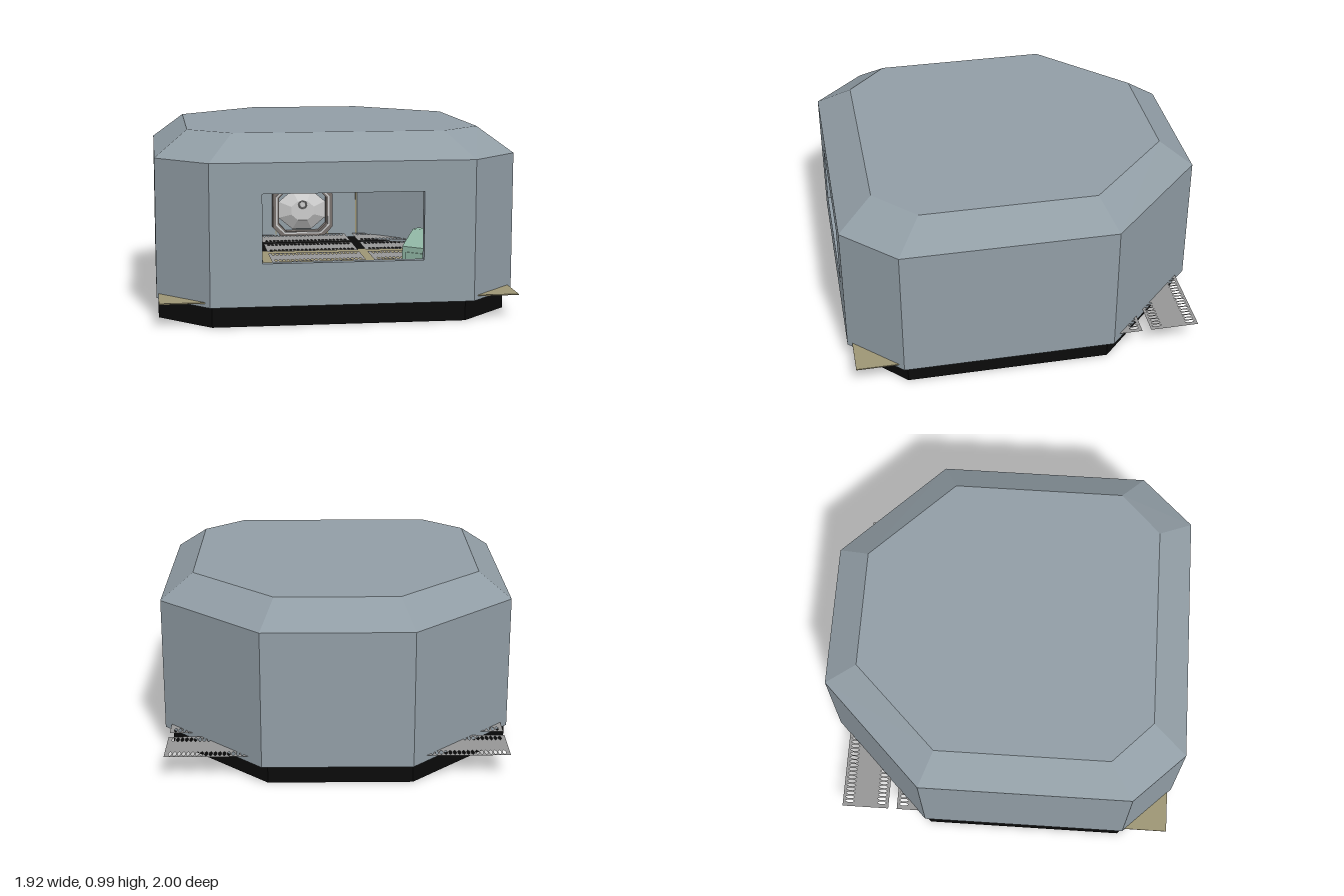
import * as THREE from 'three';

const paint = (color) => new THREE.MeshStandardMaterial({ color, side: THREE.DoubleSide, flatShading: true });

// Eight-sided outline, counterclockwise seen from above; edge 7 is the front
const ring = (y, frontX, frontZ, sideX, sideFront, sideBack, backX, backZ) => {
  const half = [[frontX, frontZ], [sideX, sideFront], [sideX, sideBack], [backX, backZ]];
  const mirrored = half.map(([x, z]) => [-x, z]).reverse();
  return [...half, ...mirrored].map(([x, z]) => new THREE.Vector3(x, y, z));
};

// Joins rings with flat quads; skipBand leaves the front quad of that band open
function loft(rings, { skipBand = -1, capFirst = false, capLast = false } = {}) {
  const pos = [];
  const tri = (...pts) => pts.forEach((p) => pos.push(p.x, p.y, p.z));
  for (let b = 0; b < rings.length - 1; b++) {
    for (let i = 0; i < 8; i++) {
      if (b === skipBand && i === 7) continue;
      const j = (i + 1) % 8, lo = rings[b], hi = rings[b + 1];
      tri(lo[i], lo[j], hi[j]);
      tri(lo[i], hi[j], hi[i]);
    }
  }
  const first = rings[0], last = rings[rings.length - 1];
  for (let i = 1; i < 7; i++) {
    if (capFirst) tri(first[0], first[i + 1], first[i]);
    if (capLast) tri(last[0], last[i], last[i + 1]);
  }
  const g = new THREE.BufferGeometry();
  g.setAttribute('position', new THREE.Float32BufferAttribute(pos, 3));
  g.computeVertexNormals();
  return g;
}

const rectPath = (target, x0, y0, x1, y1) => {
  target.moveTo(x0, y0).lineTo(x1, y0).lineTo(x1, y1).lineTo(x0, y1).closePath();
  return target;
};

// Octagon with 45 degree corners
const octagon = (target, w, h, c) => target.setFromPoints([
  [w - c, -h], [w, c - h], [w, h - c], [w - c, h], [c - w, h], [-w, h - c], [-w, c - h], [c - w, -h],
].map(([x, y]) => new THREE.Vector2(x, y)));

// Floor panel with a row of slots along each long edge
function grateGeometry(width, depth) {
  const shape = rectPath(new THREE.Shape(), -width / 2, -depth / 2, width / 2, depth / 2);
  const count = Math.floor((width - 0.02) / 0.024);
  for (const side of [-1, 1]) {
    for (let i = 0; i < count; i++) {
      const cx = (i - (count - 1) / 2) * 0.024, cy = side * (depth / 2 - 0.04);
      const slot = [[0, -0.028], [0.008, -0.012], [0.008, 0.012], [0, 0.028], [-0.008, 0.012], [-0.008, -0.012]];
      shape.holes.push(new THREE.Path(slot.map(([x, y]) => new THREE.Vector2(cx + x, cy + y))));
    }
  }
  return new THREE.ShapeGeometry(shape).rotateX(-Math.PI / 2);
}

export function createModel() {
  const model = new THREE.Group();
  const wall = paint(0x919da5), black = paint(0x0a0a0a), tan = paint(0x9d9574);
  const steel = paint(0x959595), green = paint(0x8fb5a3), dark = paint(0x77706c), pale = paint(0xcccccc);
  const add = (name, geometry, material, x = 0, y = 0, z = 0, parent = model) => {
    const mesh = new THREE.Mesh(geometry, material);
    mesh.name = name;
    mesh.position.set(x, y, z);
    parent.add(mesh);
    return mesh;
  };

  // Outer shell with a sloped roof edge
  const outer = (y) => ring(y, 0.69, 1, 0.96, 0.72, -0.44, 0.4, -1);
  const inner = (y) => ring(y, 0.675, 0.96, 0.92, 0.705, -0.425, 0.37, -0.96);
  add('outerShell', loft([outer(0.11), outer(0.855), ring(0.99, 0.56, 0.81, 0.785, 0.59, -0.36, 0.33, -0.82)],
    { skipBand: 0, capLast: true }), wall);

  // Inner walls, ceiling and bottom rim
  add('innerShell', loft([ring(0.95, 0.55, 0.79, 0.765, 0.58, -0.35, 0.32, -0.8), inner(0.83), inner(0.11), outer(0.11)],
    { skipBand: 1, capFirst: true }), wall);

  // Front wall with the window opening
  const front = rectPath(new THREE.Shape(), -0.69, 0.11, 0.69, 0.855);
  front.holes.push(rectPath(new THREE.Path(), -0.42, 0.335, 0.42, 0.695));
  add('frontWall', new THREE.ExtrudeGeometry(front, { depth: 0.04, bevelEnabled: false }), wall, 0, 0, 0.96);

  // Base plinth
  const base = (y) => ring(y, 0.665, 0.9575, 0.935, 0.69, -0.42, 0.385, -0.9575);
  add('base', loft([base(0), base(0.115)], { capFirst: true, capLast: true }), black, -0.015, 0, 0.0075);

  // Floor plate and the slotted panels on it
  add('floorPlate', new THREE.BoxGeometry(1.885, 0.006, 1.38), tan, -0.0075, 0.133, 0.285);
  const depth = 0.27;
  const columns = [[-0.625, 0.59], [0, 0.56], [0.625, 0.59]];
  for (const [x, width] of columns) {
    const geometry = grateGeometry(width, depth);
    for (let row = 0; row < 5; row++) add('floorGrate', geometry, steel, x, 0.142, -0.795 + row * 0.32);
  }

  // Trim strips on the back wall
  for (const x of [-0.36, -0.17, 0.17, 0.36]) {
    add('wallTrim', new THREE.BoxGeometry(0.008, 0.47, 0.008), tan, x, 0.375, -0.955);
  }
  add('wallRail', new THREE.BoxGeometry(0.72, 0.008, 0.008), tan, 0, 0.61, -0.955);

  // Strips on the angled back walls
  for (const side of [-1, 1]) {
    const rail = add('angledWallRail', new THREE.BoxGeometry(0.74, 0.008, 0.008), tan, side * 0.64, 0.61, -0.69);
    rail.rotation.y = -side * Math.atan2(0.535, 0.55);
  }

  // Octagonal hatch on the back wall
  const hatch = new THREE.Group();
  hatch.name = 'hatch';
  hatch.position.set(0, 0.305, -0.95);
  model.add(hatch);
  const layers = [['hatchFrame', 0.195, 0.165, 0.155, 0.135, 0.06, dark], ['hatchRim', 0.175, 0.15, 0.165, 0.14, 0.07, pale]];
  for (const [name, w, h, iw, ih, d, material] of layers) {
    const frame = octagon(new THREE.Shape(), w, h, 0.055);
    frame.holes.push(octagon(new THREE.Path(), iw, ih, 0.05));
    add(name, new THREE.ExtrudeGeometry(frame, { depth: d, bevelEnabled: false }), material, 0, 0, 0, hatch);
  }
  const panel = new THREE.CylinderGeometry(0.08, 0.165, 0.05, 8).rotateY(Math.PI / 8).rotateX(Math.PI / 2);
  add('hatchPanel', panel.scale(1, 0.84, 1), pale, 0, 0, 0.03, hatch);
  add('hatchHandle', new THREE.TorusGeometry(0.025, 0.005, 6, 8), steel, 0, 0.04, 0.06, hatch);

  // Cabinets in the front corners, turned towards the room's diagonals
  const profile = new THREE.Shape([[-0.09, 0], [0.09, 0], [0.09, 0.17], [-0.03, 0.25], [-0.09, 0.25]]
    .map(([x, y]) => new THREE.Vector2(x, y)));
  const body = new THREE.ExtrudeGeometry(profile, { depth: 0.2, bevelEnabled: false })
    .translate(0, 0, -0.1).rotateY(-Math.PI / 2);
  for (const side of [-1, 1]) {
    const cabinet = new THREE.Group();
    cabinet.name = side > 0 ? 'leftCabinet' : 'rightCabinet';
    cabinet.position.set(side * 0.54, 0.14, 0.46);
    cabinet.rotation.y = -side * 0.7;
    model.add(cabinet);
    add('cabinetBody', body, green, 0, 0, 0, cabinet);
    add('cabinetDoor', new THREE.BoxGeometry(0.15, 0.11, 0.01), green, 0, 0.085, 0.092, cabinet);
    add('cabinetHandle', new THREE.BoxGeometry(0.05, 0.012, 0.02), dark, 0, 0.07, 0.1, cabinet);
  }
  return model;
}
